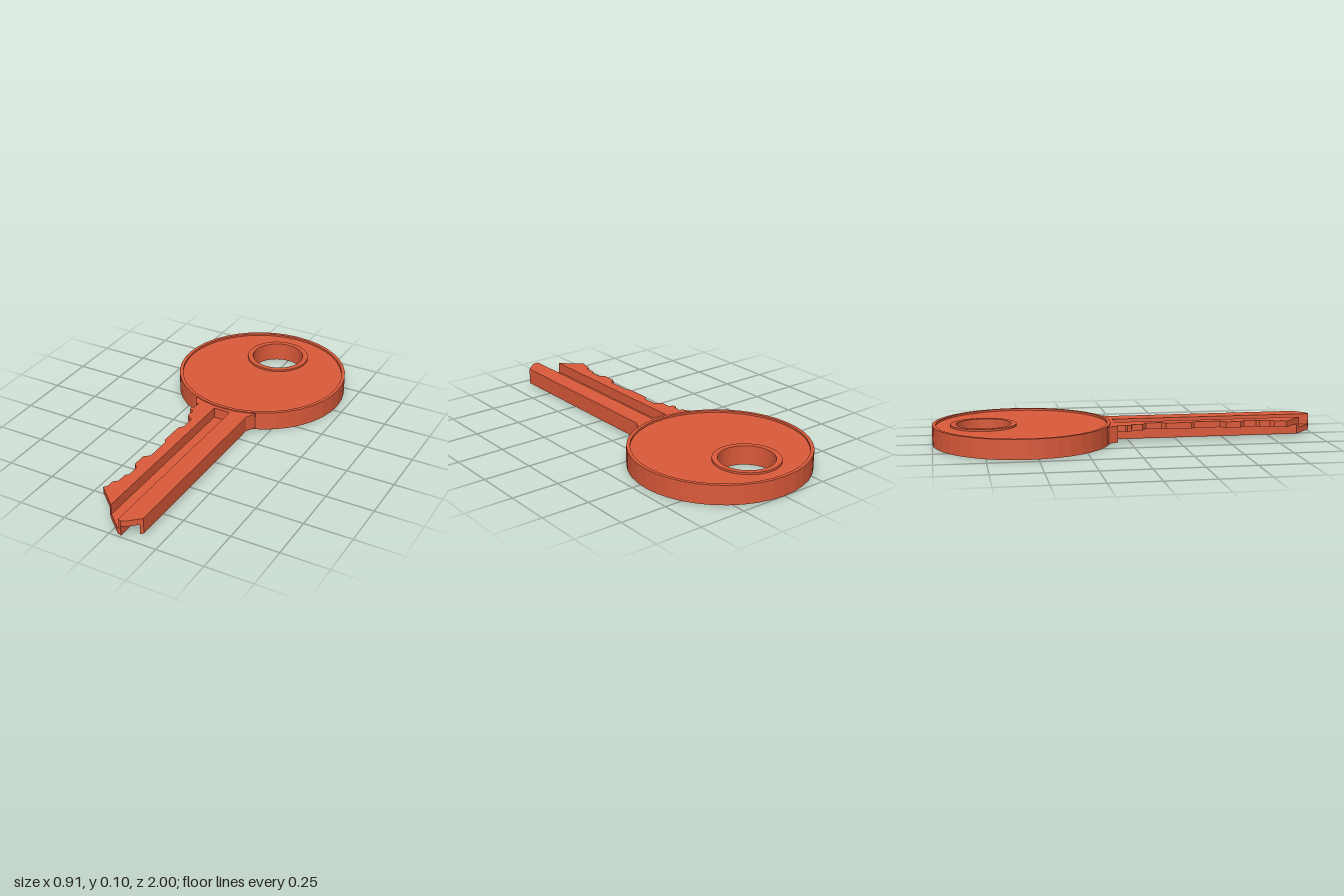
import * as THREE from 'three';

const material = new THREE.MeshStandardMaterial({ color: 0xdb5a3a, flatShading: true });
const HEAD_Z = -0.545, HOLE_Z = -0.74;

// Points of a regular 40-sided circle in the ground plane (x, z)
function circle(radius, cz, sides = 40) {
  return Array.from({ length: sides }, (_, i) => {
    const a = (i / sides) * Math.PI * 2;
    return new THREE.Vector2(Math.cos(a) * radius, cz + Math.sin(a) * radius);
  });
}

// Flat slab: an (x, z) outline with an optional hole, from y0 up to y1
function slab(name, outline, hole, y0, y1) {
  const shape = new THREE.Shape(outline);
  if (hole) shape.holes.push(new THREE.Path(hole));
  const geo = new THREE.ExtrudeGeometry(shape, { depth: y1 - y0, bevelEnabled: false });
  geo.rotateX(Math.PI / 2).translate(0, y1, 0);
  const mesh = new THREE.Mesh(geo, material);
  mesh.name = name;
  return mesh;
}

// Cut edge of the blade as [x, z], from shoulder to tip
const bitting = [
  [-0.135, -0.07], [-0.138, -0.03], [-0.15, -0.02], [-0.146, 0], [-0.125, 0.005],
  [-0.125, 0.06], [-0.09, 0.085], [-0.09, 0.165], [-0.108, 0.185], [-0.108, 0.32],
  [-0.095, 0.335], [-0.095, 0.475], [-0.124, 0.5], [-0.124, 0.575], [-0.1, 0.6],
  [-0.1, 0.665], [-0.115, 0.68], [-0.115, 0.735], [-0.137, 0.755], [-0.137, 0.795],
  [-0.15, 0.815],
];

// Grooved cross-section [x, y]; null x follows the cut edge
const section = [
  [null, 0.063], [-0.06, 0.063], [-0.06, 0.01], [-0.04, 0.01], [0.04, 0.01], [0.05, 0.01],
  [0.065, 0.01], [0.065, 0.063], [0.09, 0.063], [0.135, 0.063], [0.135, 0.01], [0.148, 0.01],
  [0.148, 0.095], [0.135, 0.095], [0.09, 0.095], [0.065, 0.095], [0.05, 0.095], [0.05, 0.04],
  [0.04, 0.04], [-0.04, 0.04], [-0.04, 0.095], [-0.06, 0.095], [null, 0.095],
];

// Quads closing the section at the tip, column by column
const tipQuads = [
  [0, 1, 21, 22], [2, 3, 20, 21], [3, 4, 18, 19], [4, 5, 17, 18],
  [5, 6, 15, 16], [7, 8, 14, 15], [8, 9, 13, 14], [10, 11, 12, 13],
];

// Outline of the pointed tip: z for a given x
const tip = [[-0.15, 0.815], [0.04, 0.99], [0.065, 1], [0.09, 0.99], [0.148, 0.935]];
function tipZ(x) {
  let k = 0;
  while (k < tip.length - 2 && x > tip[k + 1][0]) k++;
  const [x0, z0] = tip[k], [x1, z1] = tip[k + 1];
  return z0 + ((x - x0) / (x1 - x0)) * (z1 - z0);
}

// Blade lofted along z, its last row shaped by the tip outline
function createBlade() {
  const n = section.length, last = bitting.length - 1;
  const positions = [], index = [];
  bitting.forEach(([edgeX, z], row) => {
    for (const [sx, y] of section) {
      const x = sx ?? edgeX;
      positions.push(x, y, row === last ? tipZ(x) : z);
    }
  });
  for (let row = 0; row < last; row++) {
    for (let i = 0; i < n; i++) {
      const a = row * n + i, b = row * n + ((i + 1) % n);
      index.push(a, b, b + n, a, b + n, a + n);
    }
  }
  for (const quad of tipQuads) {
    const [a, b, c, d] = quad.map((i) => i + last * n);
    index.push(a, b, c, a, c, d);
  }
  const geo = new THREE.BufferGeometry();
  geo.setAttribute('position', new THREE.Float32BufferAttribute(positions, 3));
  geo.setIndex(index);
  const flat = geo.toNonIndexed();
  flat.computeVertexNormals();
  const mesh = new THREE.Mesh(flat, material);
  mesh.name = 'blade';
  return mesh;
}

// Shoulder outline, its back edge curved to stay inside the head's rim
function shoulderOutline() {
  const pts = [[-0.15, -0.07], [0.148, -0.07], [0.175, -0.12]].map((p) => new THREE.Vector2(...p));
  for (let i = 0; i <= 8; i++) {
    const x = 0.17 - (0.34 * i) / 8;
    pts.push(new THREE.Vector2(x, HEAD_Z + Math.sqrt(0.443 ** 2 - x * x)));
  }
  pts.push(new THREE.Vector2(-0.175, -0.12));
  return pts;
}

export function createModel() {
  const key = new THREE.Group();
  key.name = 'key';

  // Round head: recessed plate, raised outer rim and raised collar around the hole
  const head = new THREE.Group();
  head.name = 'head';
  head.add(
    slab('headPlate', circle(0.445, HEAD_Z), circle(0.15, HOLE_Z), 0.01, 0.09),
    slab('headRim', circle(0.455, HEAD_Z), circle(0.437, HEAD_Z), 0, 0.1),
    slab('holeCollar', circle(0.168, HOLE_Z), circle(0.14, HOLE_Z), 0, 0.1),
  );

  key.add(head, slab('shoulder', shoulderOutline(), null, 0.01, 0.095), createBlade());
  return key;
}
